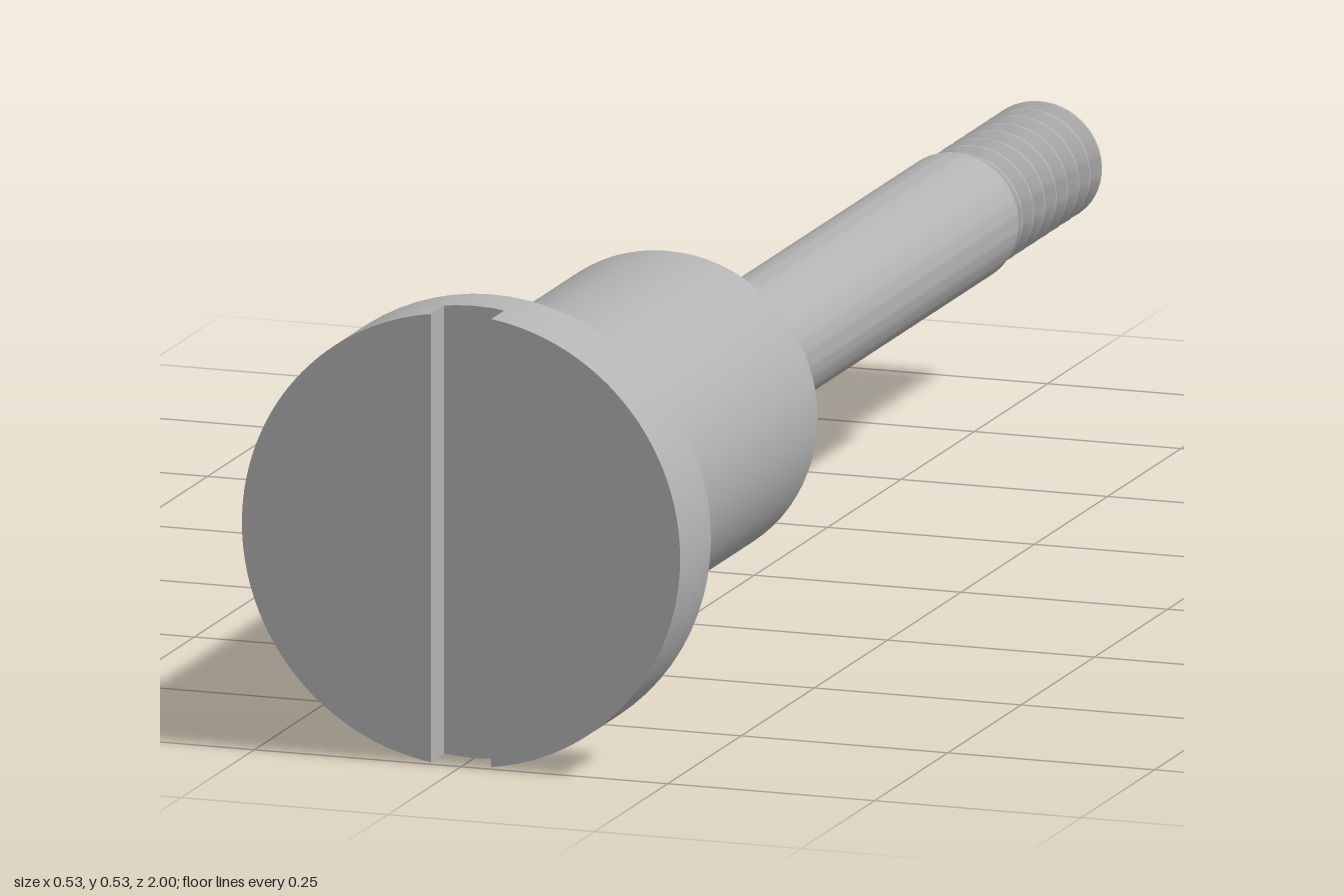
import * as THREE from 'three';
import { toCreasedNormals } from 'three/addons/utils/BufferGeometryUtils.js';

const SEG = 72;
const HEAD_R = 0.265, HEAD_BACK = 0.895, SLOT_FLOOR = 0.955, SLOT_HALF = 0.0365;
const TIP = -1, THREAD_TOP = -0.69;

// Turned part: profile of [radius, z] running from back to front
function turned(profile) {
  const geo = new THREE.LatheGeometry(profile.map(([r, z]) => new THREE.Vector2(r, z)), SEG);
  geo.rotateX(Math.PI / 2);
  return toCreasedNormals(geo, 0.6);
}

// Half of the slotted face: a circle segment beside the slot
function headHalf(side) {
  const a = Math.acos(SLOT_HALF / HEAD_R);
  const mid = side > 0 ? 0 : Math.PI;
  const shape = new THREE.Shape();
  shape.absarc(0, 0, HEAD_R, mid - a, mid + a, false);
  shape.closePath();
  const geo = new THREE.ExtrudeGeometry(shape, { depth: 1 - SLOT_FLOOR, bevelEnabled: false, curveSegments: 36 });
  geo.translate(0, 0, SLOT_FLOOR);
  return toCreasedNormals(geo, 0.6);
}

// Helical V thread swept round the axis, trimmed flat at both ends
function threadGeometry() {
  const pitch = 0.0385, root = 0.056, crest = 0.073, cols = 48;
  const steps = [0, 0.12, 0.52, 0.6];
  const radius = (z, turn) => {
    const p = (((z - TIP) / pitch - turn) % 1 + 1) % 1;
    let t = 0;
    if (p > 0.6) t = (1 - p) / 0.4;
    else if (p > 0.52) t = 1;
    else if (p > 0.12) t = (p - 0.12) / 0.4;
    return Math.min(root + (crest - root) * t, 0.061 + (z - TIP) * 0.8);
  };
  const turns = Math.ceil((THREAD_TOP - TIP) / pitch) + 1;
  const pos = [], index = [];
  let rows = 0;
  const addRow = (zAt, rScale = 1) => {
    for (let j = 0; j <= cols; j++) {
      const turn = j / cols, a = turn * Math.PI * 2;
      const z = THREE.MathUtils.clamp(zAt(turn), TIP, THREAD_TOP);
      const r = radius(z, turn) * rScale;
      pos.push(r * Math.cos(a), r * Math.sin(a), z);
    }
    rows++;
  };
  addRow(() => TIP, 0); // centre of the flat tip
  for (let k = -1; k < turns; k++) {
    for (const s of steps) addRow((turn) => TIP + pitch * (k + s + turn));
  }
  for (let i = 0; i < rows - 1; i++) {
    for (let j = 0; j < cols; j++) {
      const a = i * (cols + 1) + j, d = a + cols + 1;
      index.push(a, a + 1, d + 1, a, d + 1, d);
    }
  }
  const geo = new THREE.BufferGeometry();
  geo.setAttribute('position', new THREE.Float32BufferAttribute(pos, 3));
  geo.setIndex(index);
  return toCreasedNormals(geo, 0.5);
}

export function createModel() {
  const steel = new THREE.MeshStandardMaterial({ color: 0xb3b3b3 });
  steel.name = 'steel';

  const screw = new THREE.Group();
  screw.name = 'shoulderScrew';
  const add = (name, geo) => {
    const mesh = new THREE.Mesh(geo, steel);
    mesh.name = name;
    screw.add(mesh);
  };

  // Head disc, whose front is the floor of the slot
  add('headDisc', turned([[0, HEAD_BACK], [HEAD_R, HEAD_BACK], [HEAD_R, SLOT_FLOOR], [0, SLOT_FLOOR]]));
  add('headLeftHalf', headHalf(1));
  add('headRightHalf', headHalf(-1));

  // Barrel with a rounded rim and a dished back end
  add('barrel', turned([
    [0.07, 0.322], [0.1, 0.32], [0.125, 0.315], [0.145, 0.306], [0.158, 0.295],
    [0.164, 0.289], [0.17, 0.287], [0.176, 0.289], [0.181, 0.294], [0.183, 0.302], [0.183, HEAD_BACK],
  ]));

  // Plain shank
  add('shank', turned([[0, THREAD_TOP], [0.072, THREAD_TOP], [0.077, THREAD_TOP + 0.006], [0.077, 0.34]]));

  // Threaded end
  add('thread', threadGeometry());

  screw.position.y = HEAD_R;
  const model = new THREE.Group();
  model.name = 'model';
  model.add(screw);
  return model;
}
